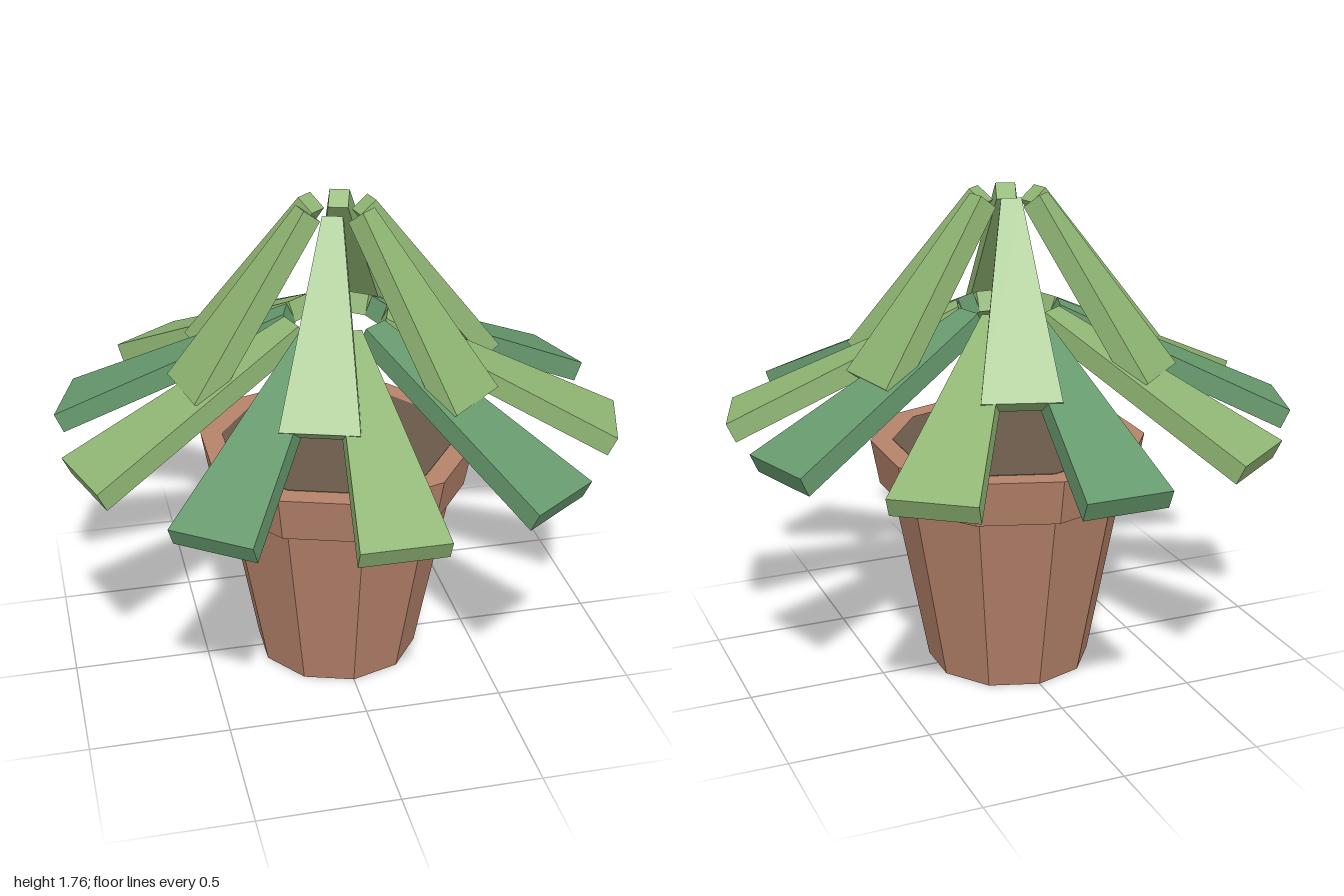
import * as THREE from 'three';

const flat = (name, color) => {
  const m = new THREE.MeshStandardMaterial({ color });
  m.name = name;
  return m;
};

// Tapered slab whose top face runs from an inner point (r, y) down to an outer point
function leafGeometry({ inner, outer, innerWidth, outerWidth, thickness }) {
  const dr = outer[0] - inner[0], dy = inner[1] - outer[1];
  const length = Math.hypot(dr, dy);
  const geo = new THREE.BoxGeometry(1, thickness, length);
  geo.translate(0, -thickness / 2, length / 2);
  const pos = geo.attributes.position;
  for (let i = 0; i < pos.count; i++) {
    const t = pos.getZ(i) / length;
    pos.setX(i, pos.getX(i) * THREE.MathUtils.lerp(innerWidth, outerWidth, t));
  }
  geo.computeVertexNormals();
  geo.rotateX(Math.atan2(dy, dr));
  geo.translate(0, inner[1], inner[0]);
  return geo;
}

// Ring of leaves around the vertical axis, cycling through the given materials
function leafRing(name, geo, count, startDegrees, materials) {
  const ring = new THREE.Group();
  ring.name = name;
  for (let i = 0; i < count; i++) {
    const leaf = new THREE.Mesh(geo, materials[i % materials.length]);
    leaf.name = `${name}Leaf${i + 1}`;
    leaf.rotation.y = THREE.MathUtils.degToRad(startDegrees) + (i / count) * Math.PI * 2;
    ring.add(leaf);
  }
  return ring;
}

export function createModel() {
  const model = new THREE.Group();
  model.name = 'pottedPlant';

  const terracotta = flat('terracotta', 0xb5826a);
  const soilBrown = flat('soilBrown', 0x6a594a);
  const lightGreen = flat('lightGreen', 0x8fb573);
  const deepGreen = flat('deepGreen', 0x66996d);
  terracotta.flatShading = true;

  // Ten-sided pot: body, rim and soil
  const addRound = (name, rTop, rBottom, y0, y1, material) => {
    const mesh = new THREE.Mesh(new THREE.CylinderGeometry(rTop, rBottom, y1 - y0, 10), material);
    mesh.name = name;
    mesh.position.y = (y0 + y1) / 2;
    model.add(mesh);
  };
  addRound('potBody', 0.43, 0.3, 0, 0.7, terracotta);
  addRound('potRim', 0.5, 0.47, 0.695, 0.86, terracotta);
  addRound('soil', 0.42, 0.42, 0.855, 0.862, soilBrown);

  // Wide lower leaves in two alternating greens
  const lowerLeaf = leafGeometry({
    inner: [0.18, 1.365], outer: [1, 0.985], innerWidth: 0.1, outerWidth: 0.3, thickness: 0.075,
  });
  model.add(leafRing('lower', lowerLeaf, 10, 0, [lightGreen, deepGreen]));

  // Steep upper leaves
  const upperLeaf = leafGeometry({
    inner: [0.135, 1.765], outer: [0.587, 1.18], innerWidth: 0.07, outerWidth: 0.27, thickness: 0.075,
  });
  model.add(leafRing('upper', upperLeaf, 6, 42, [lightGreen]));

  return model;
}
